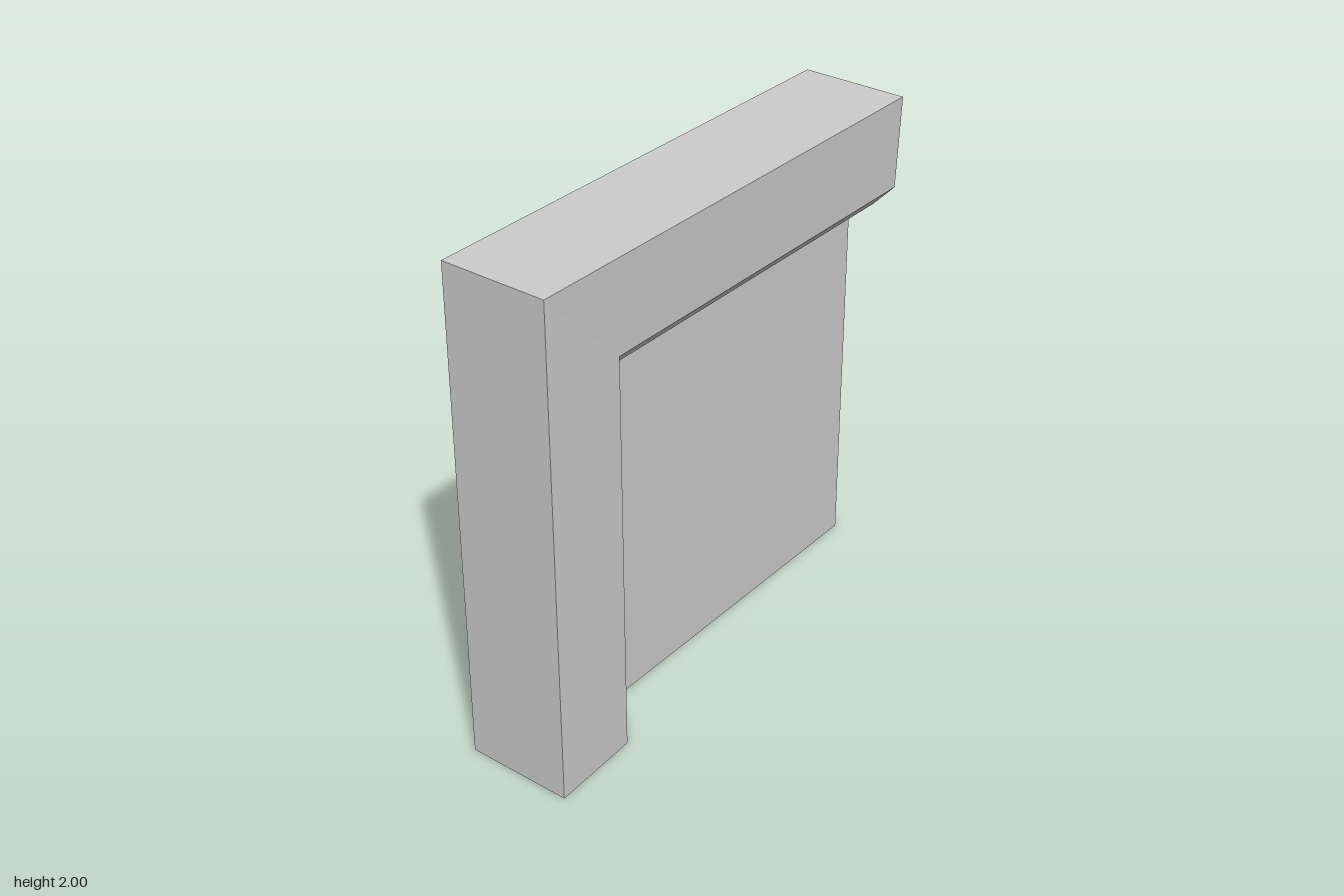
import * as THREE from 'three';

// Frame cross-section: [distance in from the outer edge, z]
const PROFILE = [
  [0, 0.215], [0.37, 0.2], [0.465, 0.11],
  [0.465, -0.11], [0.37, -0.2], [0, -0.215],
];

// Stations along the frame: foot of the post, mitred corner, end of the beam
const STATIONS = [
  (w, z) => [-1 + w, 0, z],
  (w, z) => [-1 + w, 2 - w, z],
  (w, z) => [1, 2 - w, z],
];

function frameGeometry() {
  const rings = STATIONS.map((place) => PROFILE.map(([w, z]) => place(w, z)));
  const n = PROFILE.length;
  const positions = [];
  const tri = (a, b, c) => positions.push(...a, ...b, ...c);

  // Sides swept from station to station
  for (let s = 0; s < rings.length - 1; s++) {
    for (let k = 0; k < n; k++) {
      const j = (k + 1) % n;
      tri(rings[s][k], rings[s][j], rings[s + 1][j]);
      tri(rings[s][k], rings[s + 1][j], rings[s + 1][k]);
    }
  }

  // Closed ends
  const foot = rings[0];
  const end = rings[rings.length - 1];
  for (let k = 1; k < n - 1; k++) {
    tri(foot[0], foot[k + 1], foot[k]);
    tri(end[0], end[k], end[k + 1]);
  }

  const geometry = new THREE.BufferGeometry();
  geometry.setAttribute('position', new THREE.Float32BufferAttribute(positions, 3));
  geometry.computeVertexNormals();
  return geometry;
}

export function createModel() {
  const group = new THREE.Group();
  group.name = 'cornerWindow';

  // Post and beam in one mitred piece
  const frame = new THREE.Mesh(
    frameGeometry(),
    new THREE.MeshStandardMaterial({ color: 0xcccccc, flatShading: true }),
  );
  frame.name = 'frame';
  group.add(frame);

  // Thin pane filling the opening
  const inset = PROFILE[2][0];
  const size = 2 - inset;
  const pane = new THREE.Mesh(
    new THREE.PlaneGeometry(size, size),
    new THREE.MeshStandardMaterial({ color: 0xcccccc, side: THREE.DoubleSide }),
  );
  pane.name = 'pane';
  pane.position.set(inset / 2, size / 2, 0);
  group.add(pane);

  return group;
}
